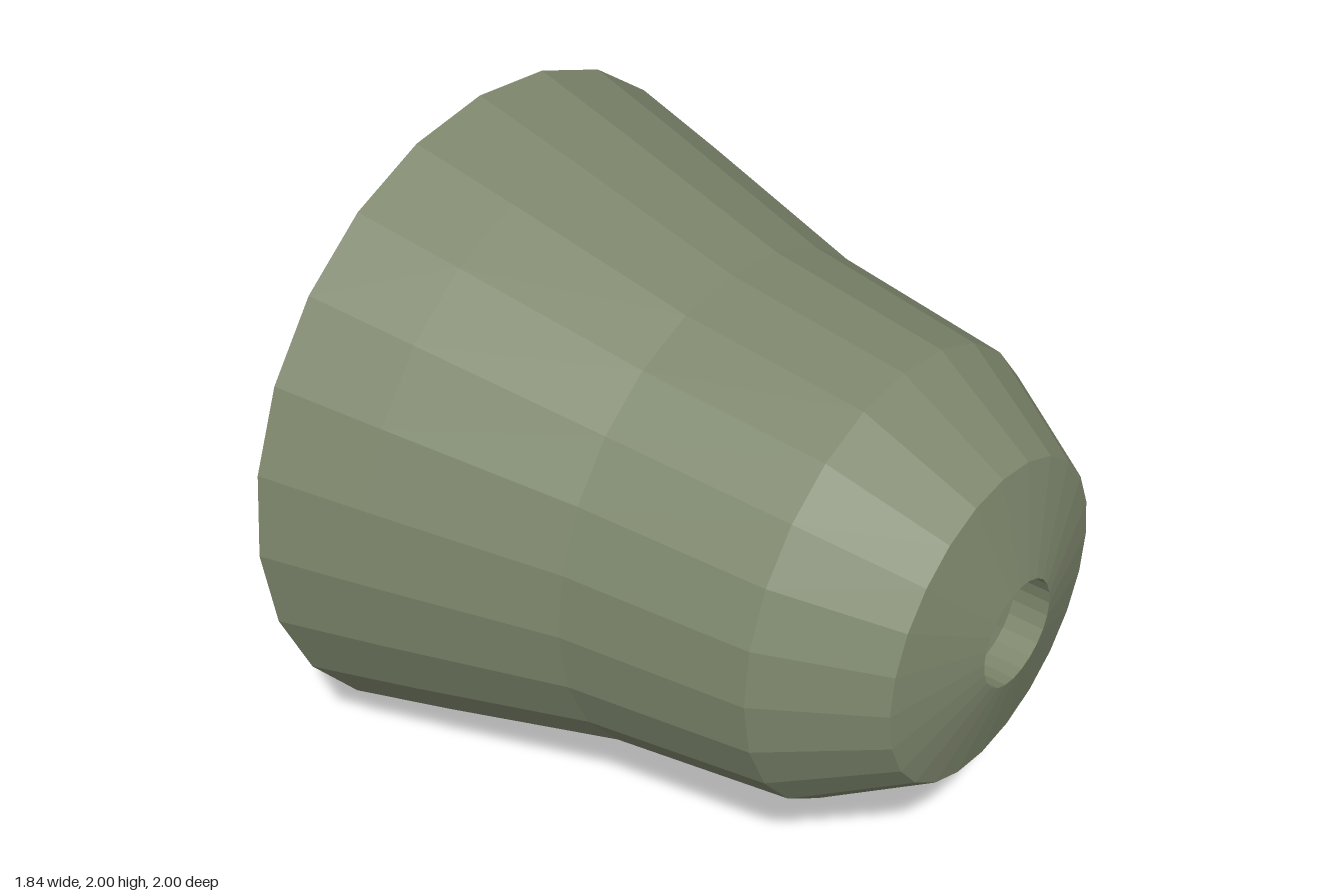
import * as THREE from 'three';

const SIDES = 24;

export function createModel() {
  const group = new THREE.Group();
  group.name = 'bellNozzle';

  const olive = new THREE.MeshStandardMaterial({ color: 0x7d866c });
  olive.name = 'oliveGrey';
  olive.flatShading = true;

  // Outer wall [radius, position along axis], wide mouth to narrow nose
  const outer = [[1, -0.92], [0.915, -0.6], [0.757, -0.04], [0.677, 0.52], [0.478, 0.84], [0.16, 0.92]];
  // Inner wall, from the nose hole back to the mouth
  const inner = [[0.16, 0.81], [0.41, 0.75], [0.575, 0.47], [0.65, -0.06], [0.805, -0.62], [0.89, -0.92]];

  // Revolves a profile around the x axis, at the height of the axis
  const addPart = (name, profile) => {
    const geometry = new THREE.LatheGeometry(profile.map(([r, a]) => new THREE.Vector2(r, a)), SIDES);
    geometry.rotateZ(-Math.PI / 2);
    geometry.translate(0, 1, 0);
    const mesh = new THREE.Mesh(geometry, olive);
    mesh.name = name;
    group.add(mesh);
  };

  addPart('outerShell', outer);
  addPart('noseHole', [outer.at(-1), inner[0]]);
  addPart('innerShell', inner);
  addPart('mouthRim', [inner.at(-1), outer[0]]);

  return group;
}
